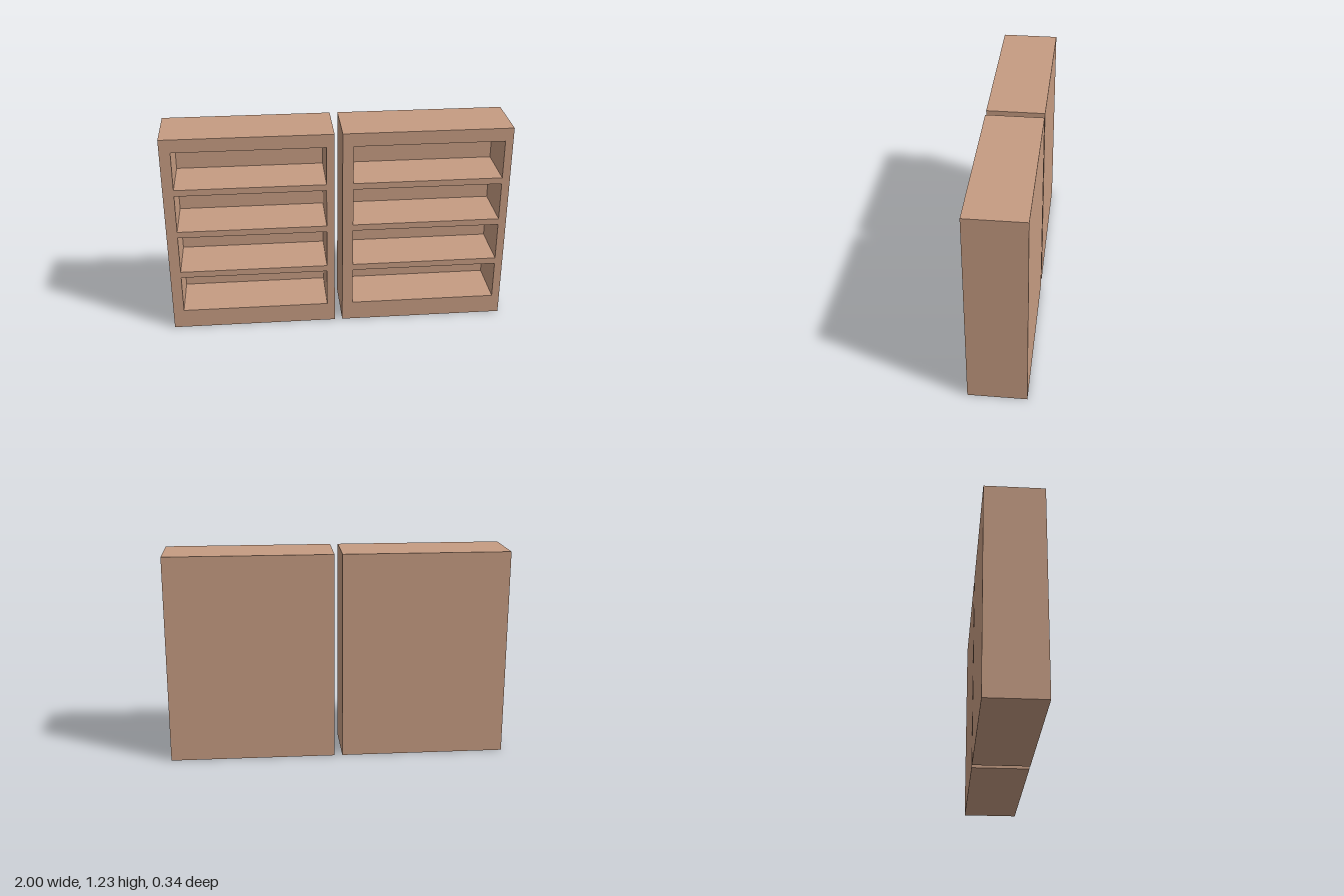
import * as THREE from 'three';

const WIDTH = 0.977, HEIGHT = 1.23, DEPTH = 0.336, BACK = 0.032;
const BAY = { x: 0.063, y: 0.117, w: 0.868, h: 0.23, pitch: 0.268, count: 4 };

// Rectangle outline from its lower left corner
function rect(path, x, y, w, h) {
  path.moveTo(x, y);
  path.lineTo(x + w, y);
  path.lineTo(x + w, y + h);
  path.lineTo(x, y + h);
  path.closePath();
  return path;
}

function createBookcase(name, material) {
  const bookcase = new THREE.Group();
  bookcase.name = name;

  // Solid frame with one opening per shelf bay
  const outline = rect(new THREE.Shape(), 0, 0, WIDTH, HEIGHT);
  for (let i = 0; i < BAY.count; i++) {
    outline.holes.push(rect(new THREE.Path(), BAY.x, BAY.y + i * BAY.pitch, BAY.w, BAY.h));
  }
  const frame = new THREE.Mesh(
    new THREE.ExtrudeGeometry(outline, { depth: DEPTH - BACK, bevelEnabled: false }), material);
  frame.name = 'shelfFrame';
  frame.position.z = BACK - DEPTH / 2;

  // Panel closing the back of every bay
  const back = new THREE.Mesh(new THREE.BoxGeometry(WIDTH, HEIGHT, BACK), material);
  back.name = 'backPanel';
  back.position.set(WIDTH / 2, HEIGHT / 2, (BACK - DEPTH) / 2);

  bookcase.add(frame, back);
  return bookcase;
}

export function createModel() {
  const model = new THREE.Group();
  model.name = 'bookcasePair';
  const wood = new THREE.MeshStandardMaterial({ color: 0xc69c82 });

  // Two identical bookcases side by side with a narrow gap
  const right = createBookcase('rightBookcase', wood);
  right.position.x = -1;
  const left = createBookcase('leftBookcase', wood);
  left.position.x = 1 - WIDTH;
  model.add(right, left);
  return model;
}
